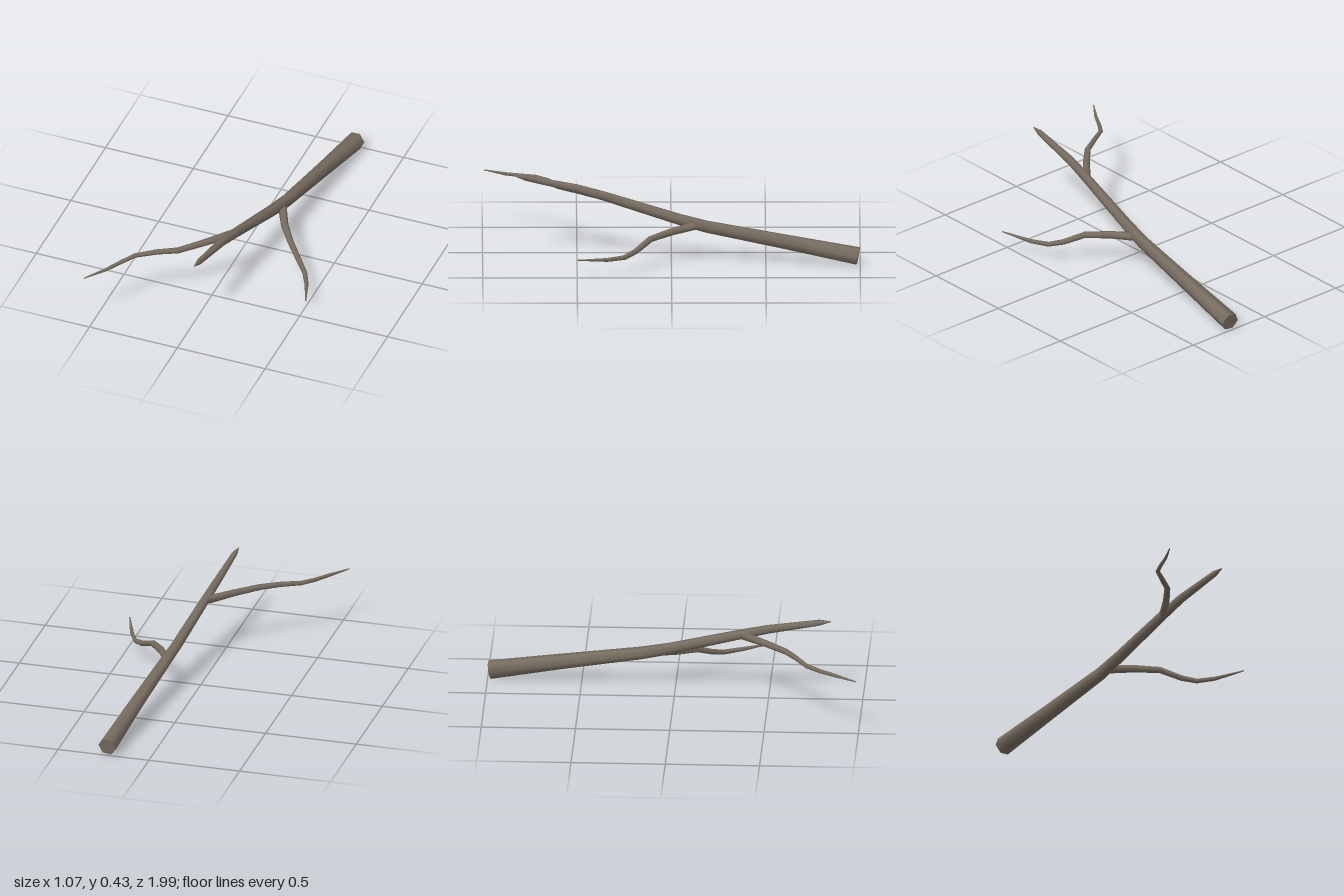
import * as THREE from 'three';

const SIDES = 6;

// Tapered six-sided limb through stations [x, y, z, radius], closed at the thick end
function limbGeometry(stations, twist) {
  const points = stations.map(([x, y, z]) => new THREE.Vector3(x, y, z));
  const up = new THREE.Vector3(0, 1, 0);
  const positions = [];
  const index = [];
  const last = points.length - 1;

  points.forEach((p, i) => {
    const tangent = points[Math.min(i + 1, last)].clone().sub(points[Math.max(i - 1, 0)]).normalize();
    const side = up.clone().cross(tangent).normalize();
    const rise = tangent.clone().cross(side);
    for (let j = 0; j < SIDES; j++) {
      const a = twist + (j / SIDES) * Math.PI * 2;
      const v = p.clone()
        .addScaledVector(side, Math.cos(a) * stations[i][3])
        .addScaledVector(rise, Math.sin(a) * stations[i][3]);
      positions.push(v.x, v.y, v.z);
    }
  });

  for (let i = 0; i < last; i++) {
    for (let j = 0; j < SIDES; j++) {
      const k = (j + 1) % SIDES;
      const a = i * SIDES + j, b = i * SIDES + k;
      index.push(a, b, b + SIDES, a, b + SIDES, a + SIDES);
    }
  }

  // Flat cut face with its own corners, so the rim stays sharp
  const centre = positions.length / 3;
  positions.push(...points[0].toArray(), ...positions.slice(0, SIDES * 3));
  for (let j = 0; j < SIDES; j++) {
    index.push(centre, centre + 1 + ((j + 1) % SIDES), centre + 1 + j);
  }

  const geometry = new THREE.BufferGeometry();
  geometry.setAttribute('position', new THREE.Float32BufferAttribute(positions, 3));
  geometry.setIndex(index);
  geometry.computeVertexNormals();
  return geometry;
}

export function createModel() {
  const bark = new THREE.MeshStandardMaterial({ color: 0x776c60 });
  bark.name = 'bark';
  const group = new THREE.Group();
  group.name = 'branch';

  const limbs = {
    // Main stem, from the cut end at the back to the tip at the front
    mainStem: [
      [0.232, 0.049, -0.99, 0.05], [0.195, 0.118, -0.6, 0.041],
      [0.152, 0.188, -0.19, 0.034], [0.128, 0.226, -0.03, 0.031],
      [0.076, 0.334, 0.35, 0.026], [0.057, 0.373, 0.5, 0.023],
      [0.034, 0.424, 0.77, 0.016], [0.028, 0.433, 0.83, 0.002],
    ],
    // Long twig on the right
    rightTwig: [
      [0.065, 0.333, 0.36, 0.022], [0.03, 0.332, 0.4, 0.021],
      [-0.048, 0.331, 0.49, 0.018], [-0.153, 0.328, 0.6, 0.016],
      [-0.25, 0.331, 0.657, 0.014], [-0.35, 0.324, 0.72, 0.012],
      [-0.4, 0.317, 0.79, 0.011], [-0.455, 0.312, 0.88, 0.009],
      [-0.535, 0.311, 0.99, 0.003],
    ],
    // Drooping twig on the left
    leftTwig: [
      [0.155, 0.195, -0.125, 0.023], [0.217, 0.178, 0, 0.02],
      [0.296, 0.161, 0.11, 0.017], [0.376, 0.115, 0.19, 0.015],
      [0.43, 0.096, 0.25, 0.013], [0.476, 0.096, 0.34, 0.011],
      [0.534, 0.11, 0.5, 0.003],
    ],
  };

  for (const [name, stations] of Object.entries(limbs)) {
    const mesh = new THREE.Mesh(limbGeometry(stations, 0.1), bark);
    mesh.name = name;
    group.add(mesh);
  }
  return group;
}
